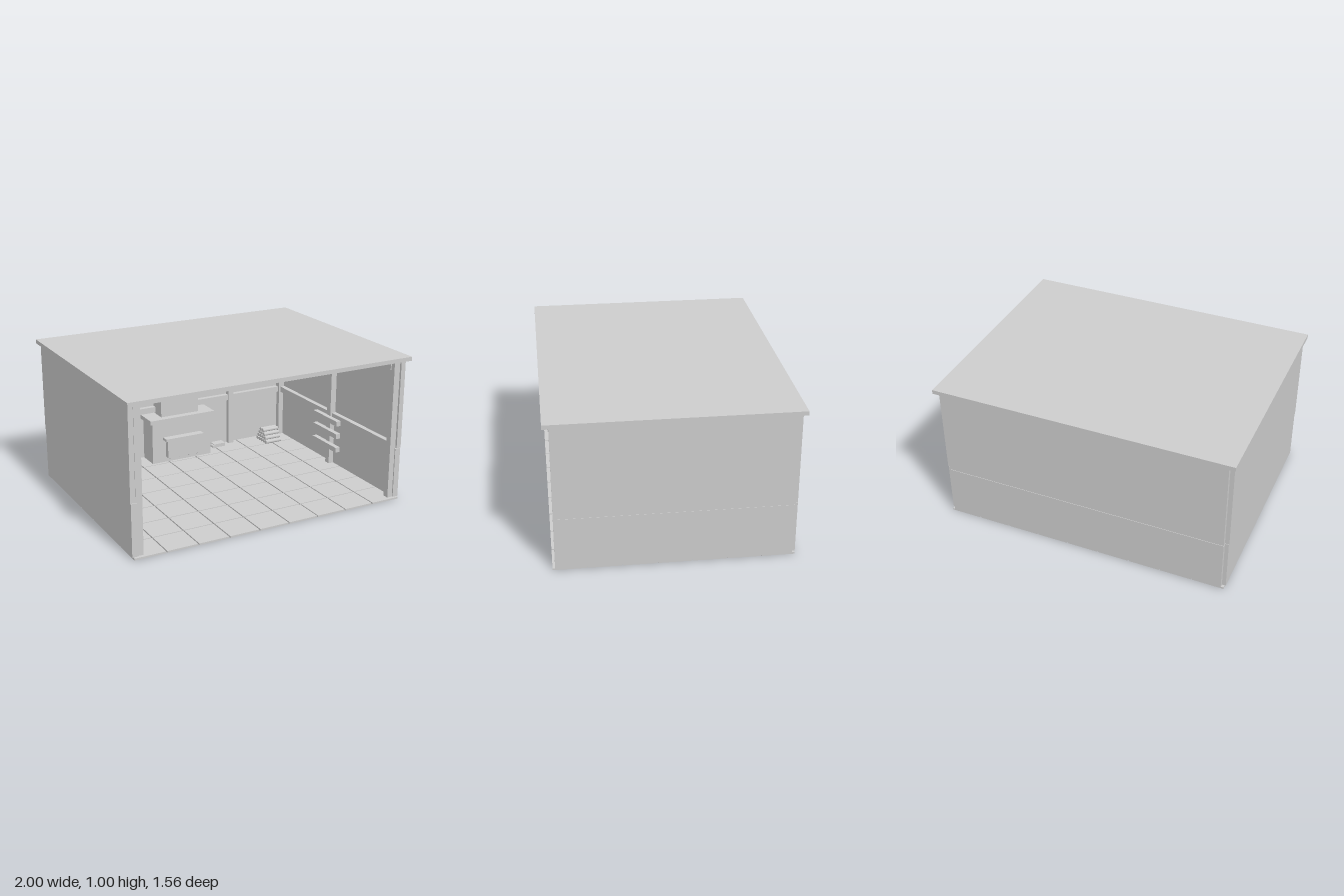
import * as THREE from 'three';

export function createModel() {
  const model = new THREE.Group();
  model.name = 'workshop';
  const grey = new THREE.MeshStandardMaterial({ color: 0xcccccc });
  grey.name = 'plain grey';

  const add = (name, geo, x = 0, y = 0, z = 0, parent = model) => {
    const mesh = new THREE.Mesh(geo, grey);
    mesh.name = name;
    mesh.position.set(x, y, z);
    parent.add(mesh);
    return mesh;
  };
  // Box given by its limits on each axis
  const box = (name, [x0, x1], [y0, y1], [z0, z1], parent = model) =>
    add(name, new THREE.BoxGeometry(x1 - x0, y1 - y0, z1 - z0),
      (x0 + x1) / 2, (y0 + y1) / 2, (z0 + z1) / 2, parent);
  const span = (s, a, b) => (s > 0 ? [a, b] : [-b, -a]);
  const sides = [-1, 1];

  // Roof slab
  box('roof', [-1, 1], [0.973, 1], [-0.78, 0.78]);

  // Floor of separate slabs with open joints
  const floor = new THREE.Group();
  floor.name = 'floor';
  model.add(floor);
  const pitch = 0.217;
  const slab = new THREE.BoxGeometry(0.209, 0.012, 0.209);
  for (let i = -4; i <= 4; i++)
    for (let j = -3; j <= 3; j++) add('floorSlab', slab, i * pitch, 0.006, j * pitch, floor);

  // Walls: thicker lower course, thinner upper course
  box('backLowerWall', [-0.955, 0.955], [0.013, 0.36], [-0.76, -0.725]);
  box('backUpperWall', [-0.955, 0.955], [0.363, 0.973], [-0.76, -0.735]);
  for (const s of sides) {
    box('sideLowerWall', span(s, 0.94, 0.98), [0.013, 0.36], [-0.735, 0.74]);
    box('sideUpperWall', span(s, 0.95, 0.983), [0.363, 0.973], [-0.735, 0.74]);
  }

  // Timber frame: posts, rails and top beams
  for (const s of sides) {
    for (const z of [-0.71, 0, 0.71])
      box('sidePost', span(s, 0.902, 0.945), [0.012, 0.973], [z - 0.022, z + 0.022]);
    box('backPost', span(s, 0.457, 0.5), [0.012, 0.973], [-0.735, -0.69]);
    box('sideRail', span(s, 0.915, 0.955), [0.358, 0.4], [-0.72, 0.72]);
    box('sideBeam', span(s, 0.895, 0.945), [0.905, 0.96], [-0.72, 0.7]);
    // Diagonal braces leaning toward the middle
    for (const x of [0.717, 0.238]) {
      const brace = add('brace', new THREE.BoxGeometry(0.03, 0.39, 0.03), s * x, 0.625, -0.715);
      brace.rotation.z = s * 0.61;
    }
  }
  box('backRail', [-0.9, 0.9], [0.358, 0.4], [-0.74, -0.7]);
  box('backBeam', [-0.9, 0.9], [0.905, 0.96], [-0.735, -0.68]);

  // Hearth with chimney
  box('hearthBase', [-0.237, 0.237], [0.012, 0.32], [-0.73, -0.57]);
  box('hearthTop', [-0.258, 0.258], [0.32, 0.35], [-0.735, -0.55]);
  box('chimney', [-0.15, 0.15], [0.35, 0.97], [-0.735, -0.6]);

  // Fire trough on small feet
  box('trough', [-0.132, 0.132], [0.052, 0.185], [-0.58, -0.53]);
  box('troughRim', [-0.152, 0.152], [0.185, 0.204], [-0.58, -0.515]);
  for (const x of [-0.11, -0.04, 0.04, 0.11])
    add('troughFoot', new THREE.SphereGeometry(0.008, 8, 6), x, 0.05, -0.545);

  // Bellows beside the hearth
  box('bellows', [0.262, 0.356], [0.053, 0.078], [-0.62, -0.56]);
  const nozzle = add('bellowsNozzle', new THREE.CylinderGeometry(0.011, 0.011, 0.05, 12), 0.256, 0.065, -0.57);
  nozzle.rotation.x = Math.PI / 2;

  // Log piles in stacked rows
  const log = new THREE.CylinderGeometry(0.0145, 0.0145, 0.13, 8);
  log.rotateZ(Math.PI / 2);
  for (const s of sides) {
    const pile = new THREE.Group();
    pile.name = 'logPile';
    model.add(pile);
    for (let row = 0; row < 4; row++)
      for (let i = 0; i < 5 - row; i++)
        add('log', log, s * 0.763, 0.028 + row * 0.027, -0.6 + (i - (4 - row) / 2) * 0.031, pile);
  }

  // Tool rack on the right wall
  box('toolBoard', [-0.905, -0.885], [0.2, 0.315], [-0.12, 0.26]);
  for (let i = 0; i < 4; i++) {
    const z = -0.07 + i * 0.093;
    box('toolPeg', [-0.886, -0.868], [0.272, 0.284], [z - 0.015, z + 0.015]);
    box('toolHandle', [-0.884, -0.874], [0.205, 0.28], [z - 0.006, z + 0.006]);
  }

  // Shelves on the left wall
  for (const y of [0.162, 0.265, 0.36])
    box('shelf', [0.87, 0.905], [y - 0.018, y + 0.018], [-0.15, 0.15]);

  // Hanging lantern
  add('lanternRod', new THREE.CylinderGeometry(0.003, 0.003, 0.07, 6), -0.655, 0.872, -0.69);
  box('lantern', [-0.668, -0.642], [0.8, 0.84], [-0.703, -0.677]);

  // Hanging chains of links turned in alternation
  const link = new THREE.TorusGeometry(0.009, 0.0025, 6, 10);
  link.scale(0.8, 1.2, 1);
  for (const x of [-0.395, 0.39])
    for (let i = 0; i < 7; i++)
      add('chainLink', link, x, 0.892 - i * 0.018, -0.69).rotation.y = (i % 2) * Math.PI / 2;

  return model;
}
